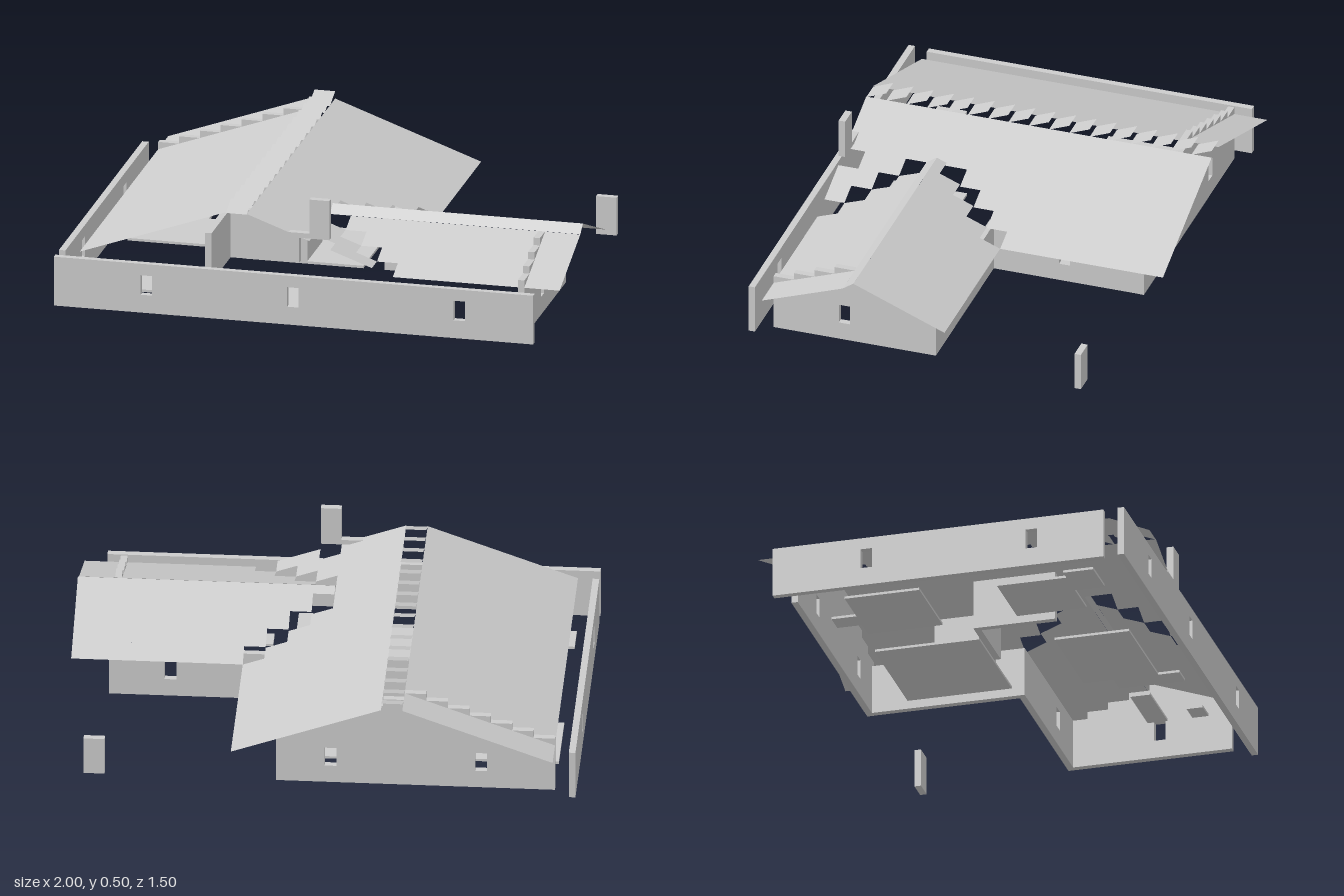
import * as THREE from 'three';

const C = 1 / 12;          // plan module
const H = 0.03;            // rise per module
const T = 0.026;           // wall thickness
const BASE = 0.01, EAVE = 0.21;

export function createModel() {
  const model = new THREE.Group();
  const plaster = new THREE.MeshStandardMaterial({ color: 0xcccccc, side: THREE.DoubleSide });
  plaster.name = 'lightGrey';

  const add = (name, geometry, parent = model) => {
    const mesh = new THREE.Mesh(geometry, plaster);
    mesh.name = name;
    parent.add(mesh);
    return mesh;
  };
  const group = (name) => {
    const g = new THREE.Group();
    g.name = name;
    model.add(g);
    return g;
  };
  const box = (name, x0, x1, y0, y1, z0, z1, parent) =>
    add(name, new THREE.BoxGeometry(x1 - x0, y1 - y0, z1 - z0), parent)
      .position.set((x0 + x1) / 2, (y0 + y1) / 2, (z0 + z1) / 2);

  // Upright wall from an outline, with window openings
  const wall = (name, axis, pos, outline, windows = []) => {
    const shape = new THREE.Shape(outline.map(([u, v]) => new THREE.Vector2(u, v)));
    for (const c of windows) {
      const hole = new THREE.Path();
      hole.moveTo(c - 0.023, 0.083).lineTo(c - 0.023, 0.163);
      hole.lineTo(c + 0.023, 0.163).lineTo(c + 0.023, 0.083).closePath();
      shape.holes.push(hole);
    }
    const geometry = new THREE.ExtrudeGeometry(shape, { depth: T, bevelEnabled: false });
    if (axis === 'z') geometry.rotateY(-Math.PI / 2).translate(pos + T, 0, 0);
    else geometry.translate(0, 0, pos);
    add(name, geometry);
  };
  const rect = (a, b) => [[a, BASE], [b, BASE], [b, EAVE], [a, EAVE]];

  // Gable outline: a rectangle with courses stepping in on both sides
  const gable = (a, b, start, end, courses) => {
    const left = [], right = [];
    for (let i = 0; i < courses; i++) {
      const y0 = EAVE + i * H, y1 = y0 + H;
      left.push([start + i * C, y0], [start + i * C, y1]);
      right.push([end - i * C, y0], [end - i * C, y1]);
    }
    const points = [[a, BASE], [b, BASE]];
    if (b !== end) points.push([b, EAVE]);
    points.push(...right, ...left.reverse());
    if (a !== start) points.push([a, EAVE]);
    return points;
  };

  // Sloping rectangle; heights follow x or z
  const slope = (name, parent, x0, x1, z0, z1, height) => {
    const g = new THREE.BufferGeometry();
    const p = [[x0, z0], [x0, z1], [x1, z1], [x1, z0]].flatMap(([x, z]) => [x, height(x, z), z]);
    g.setAttribute('position', new THREE.Float32BufferAttribute(p, 3));
    g.setIndex([0, 1, 2, 0, 2, 3]);
    g.computeVertexNormals();
    add(name, g, parent);
  };

  // Outer walls
  wall('frontWall', 'x', 0.722, rect(-1, 0.915), [-0.63, -0.045, 0.62]);
  wall('rightWall', 'z', -1, rect(-0.667, 0.665), [0.375, -0.29]);
  wall('backGable', 'x', -0.615, gable(-0.917, 0.167, -0.917, 0.167, 7), [-0.63, -0.045]);
  wall('wingGable', 'z', 0.833, gable(0, 0.665, 0.0833, 0.665, 4), [0.375]);
  wall('innerCornerWall', 'z', 0.14, rect(-0.59, 0), [-0.29]);
  wall('wingBackWall', 'x', 0, rect(0.14, 0.833), [0.62]);

  // Inner partitions
  wall('partition', 'z', -0.5, rect(0, 0.33));
  wall('partition', 'x', 0, rect(-0.5, -0.2));
  wall('partition', 'z', -0.2, rect(-0.24, 0));

  // Main roof, cut away along the valleys where the wing joins
  const BACK = -0.75, FRONT = 0.665;
  const main = group('mainRoof');
  const east = (x) => 0.21 + (0.333 - x) * 0.36;
  slope('rightSlope', main, -0.917, -0.333, BACK, FRONT, (x) => 0.21 + (x + 0.917) * 0.36);
  slope('leftSlope', main, -0.25, 0, BACK, FRONT, east);
  for (let i = 0; i < 4; i++) {
    const x0 = i * C, x1 = x0 + C;
    slope('leftSlopeBack', main, x0, x1, BACK, (2 - i) * C, east);
    if (i < 3) slope('leftSlopeFront', main, x0, x1, (5 + i) * C, i === 0 ? 7 * C : FRONT, east);
  }

  // Overlapping ridge tiles
  for (let i = 0; i < 17; i++) {
    const z0 = BACK + i * C;
    slope('ridgeTile', main, -0.333, -0.25, z0, Math.min(z0 + C, FRONT),
      (x, z) => 0.45 - (z - z0) * 0.4);
  }

  // Wing roof, stepped along the valleys
  const wing = group('wingRoof');
  const north = (x, z) => 0.21 + (z + C) * 0.4;
  const south = (x, z) => 0.21 + (FRONT - z) * 0.36;
  slope('wingRidge', wing, 0, 1, 0.29, 0.333, (x, z) => 0.36 - (z - 0.29) * 0.7);
  slope('wingBackSlope', wing, 0, 1, 3 * C, 0.29, north);
  for (let i = 0; i < 4; i++) {
    const x0 = (i + 1) * C;
    slope('wingBackSlope', wing, x0, 1, (2 - i) * C, (3 - i) * C, north);
    slope('wingFrontSlope', wing, x0, 1, (4 + i) * C, Math.min((5 + i) * C, FRONT), south);
  }

  // Chimney with its footing, and a loose post panel
  box('chimney', 0, 0.08, 0.34, 0.5, 0.638, 0.665);
  box('chimneyFooting', -0.083, 0, 0.34, 0.36, 0.638, 0.665);
  box('postPanel', 0.833, 0.915, BASE, 0.165, -0.613, -0.587);

  // Floor slabs: x0, x1, z0, z1
  const floors = group('floors');
  for (const [x0, x1, z0, z1] of [
    [-0.417, 0.05, -0.42, 0],
    [-0.917, -0.583, -0.4, -0.1],
    [-0.75, -0.667, -0.5, -0.4],
    [-0.87, -0.583, 0.2, 0.48],
    [-0.917, -0.75, 0.48, 0.6],
    [-0.333, 0.083, 0.28, 0.58],
    [0.083, 0.167, 0.4, 0.665],
    [0.25, 0.5, 0.42, 0.5],
    [0.417, 0.5, 0.6, 0.665],
  ]) box('floorSlab', x0, x1, 0, BASE, z0, z1, floors);

  return model;
}
